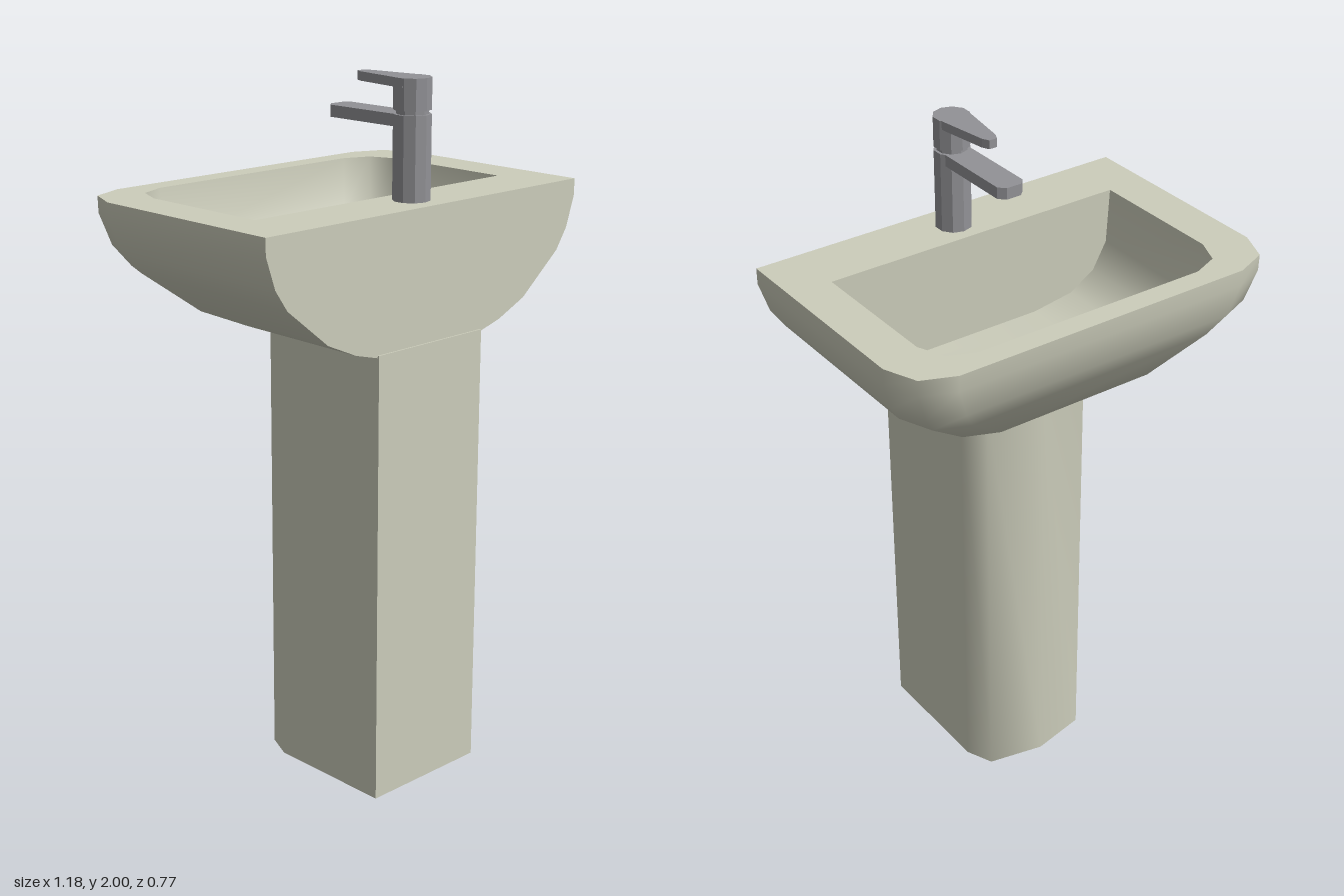
import * as THREE from 'three';
import { toCreasedNormals } from 'three/addons/utils/BufferGeometryUtils.js';

const ceramic = new THREE.MeshStandardMaterial({ color: 0xcccdbb });
ceramic.name = 'ceramic';
const metal = new THREE.MeshStandardMaterial({ color: 0x929296 });
metal.name = 'metal';

// Plan outline: straight at the wall, two bevelled corners at the free edge
function ring(y, w, d, wall, c) {
  const b = c * 0.29;
  const half = [[w, wall], [w, d + c], [w - b, d + b], [w - c, d]];
  const mirrored = half.map(([x, z]) => [-x, z]).reverse();
  return [...half, ...mirrored].map(([x, z]) => [x, y, z]);
}

// Skin between successive rings, closed at both ends
function loft(rings) {
  const n = rings[0].length, last = (rings.length - 1) * n;
  const index = [];
  for (let k = 0; k < rings.length - 1; k++) {
    for (let i = 0; i < n; i++) {
      const a = k * n + i, b = k * n + (i + 1) % n;
      index.push(a, a + n, b, b, a + n, b + n);
    }
  }
  for (let i = 1; i < n - 1; i++) {
    index.push(0, i, i + 1, last, last + i + 1, last + i);
  }
  const g = new THREE.BufferGeometry();
  g.setAttribute('position', new THREE.Float32BufferAttribute(rings.flat(2), 3));
  g.setIndex(index);
  return toCreasedNormals(g, 1.0);
}

// Upright slab from a plan outline given as [x, z] points
function slab(points, y0, y1, crease) {
  const shape = new THREE.Shape(points.map(([x, z]) => new THREE.Vector2(x, -z)));
  const g = new THREE.ExtrudeGeometry(shape, { depth: y1 - y0, bevelEnabled: false });
  g.rotateX(-Math.PI / 2).translate(0, y0, 0);
  return toCreasedNormals(g, crease);
}

export function createModel() {
  const model = new THREE.Group();
  const add = (name, geometry, material, parent = model) => {
    const mesh = new THREE.Mesh(geometry, material);
    mesh.name = name;
    parent.add(mesh);
    return mesh;
  };

  // Basin: bowl floor up to the rim, over it, and down the outside [y, half width, free edge z]
  const inside = [[1.36, 0.2, -0.07], [1.38, 0.33, -0.18], [1.43, 0.41, -0.26], [1.51, 0.455, -0.305], [1.672, 0.465, -0.32]];
  const outside = [[1.672, 0.59, -0.385], [1.625, 0.59, -0.383], [1.535, 0.56, -0.367], [1.475, 0.52, -0.335],
    [1.36, 0.38, -0.26], [1.315, 0.28, -0.18], [1.293, 0.2, -0.115]];
  add('basin', loft([
    ...inside.map(([y, w, d]) => ring(y, w, d, 0.2, 0.11)),
    ...outside.map(([y, w, d]) => ring(y, w, d, 0.38, 0.135)),
  ]), ceramic);

  // Pedestal with a rounded free side
  add('pedestal', slab([
    [0.2, 0.385], [0.2, 0], [0.165, -0.08], [0, -0.115], [-0.165, -0.08], [-0.2, 0], [-0.2, 0.385],
  ], 0, 1.3, 1.0), ceramic);

  // Tap
  const tap = new THREE.Group();
  tap.name = 'tap';
  tap.position.set(0.019, 0, 0.285);
  model.add(tap);
  const column = (name, r, y0, y1) => {
    const g = new THREE.CylinderGeometry(r, r, y1 - y0, 10);
    g.translate(0, (y0 + y1) / 2, 0);
    add(name, toCreasedNormals(g, 0.3), metal, tap);
  };
  column('tapBody', 0.052, 1.665, 1.903);
  column('tapNeck', 0.044, 1.9, 1.917);
  column('tapCap', 0.052, 1.914, 2);

  const spoutHalf = [[0.041, 0], [0.041, -0.27], [0.022, -0.288]];
  const leverHalf = [[0.05, 0.01], [0.043, -0.04], [0.022, -0.175], [0.012, -0.195]];
  const both = (half) => [...half, ...half.map(([x, z]) => [-x, z]).reverse()];
  add('spout', slab(both(spoutHalf), 1.87, 1.903, 0.3), metal, tap);
  add('lever', slab(both(leverHalf), 1.975, 2, 0.3), metal, tap);
  return model;
}
